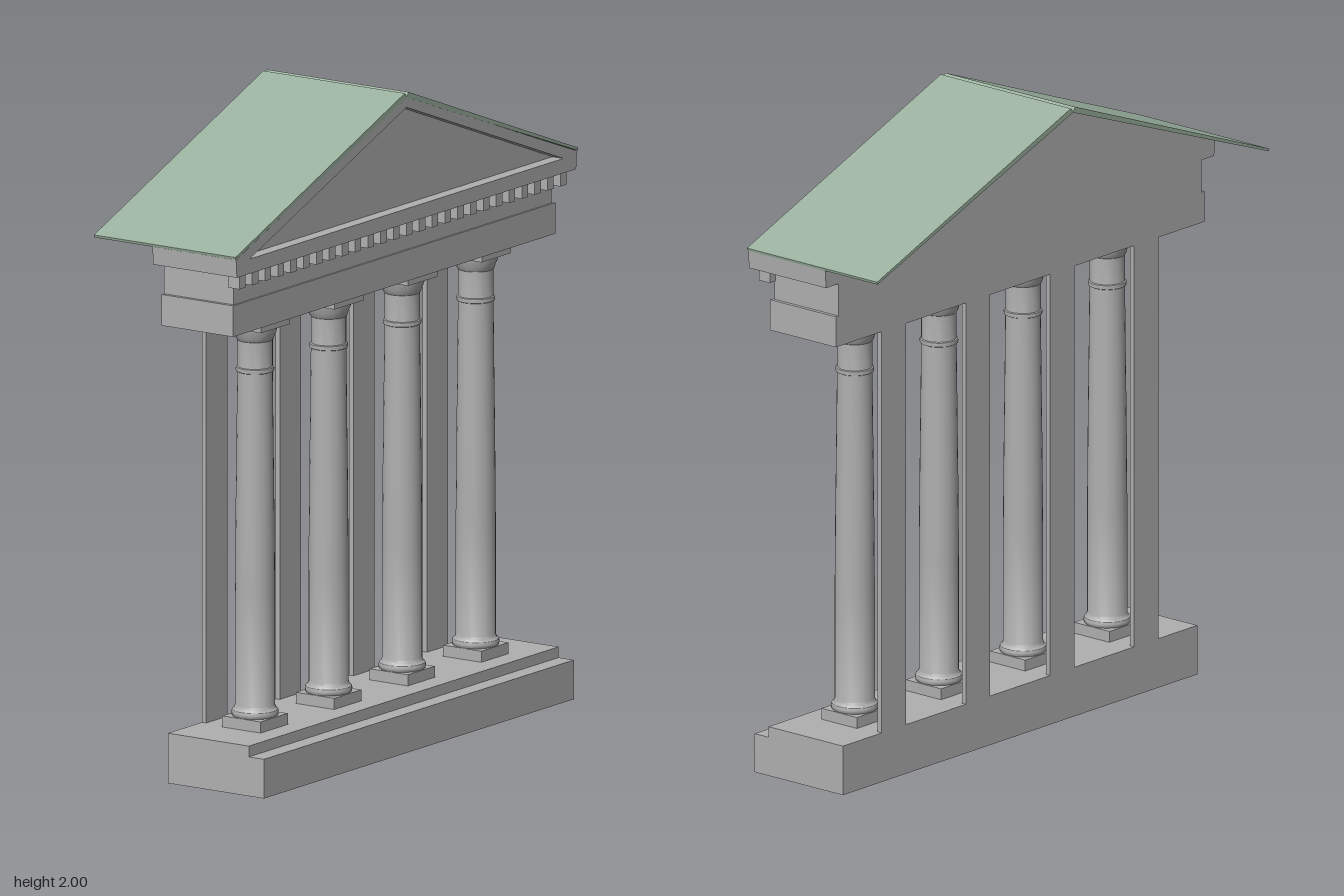
import * as THREE from 'three';
import { toCreasedNormals } from 'three/addons/utils/BufferGeometryUtils.js';

const BACK = -0.07; // plane of the flat rear face
const FRONT = 0.235; // front of the cornice and roof

export function createModel() {
  const stone = new THREE.MeshStandardMaterial({ color: 0xb0b0b0 });
  stone.name = 'grey stone';
  const copper = new THREE.MeshStandardMaterial({ color: 0x9ab09e });
  copper.name = 'green roof';

  const model = new THREE.Group();
  model.name = 'temple portico';

  const add = (name, geometry, material = stone, parent = model) => {
    const mesh = new THREE.Mesh(geometry, material);
    mesh.name = name;
    parent.add(mesh);
    return mesh;
  };
  // Box given by half width, centre x and its y and z limits
  const block = (name, half, y0, y1, z0, z1, x = 0, parent = model) => {
    const g = new THREE.BoxGeometry(2 * half, y1 - y0, z1 - z0);
    g.translate(x, (y0 + y1) / 2, (z0 + z1) / 2);
    return add(name, g, stone, parent);
  };
  const polygon = (C, pts) => new C(pts.map(([x, y]) => new THREE.Vector2(x, y)));
  const extrude = (shape, z0, z1) => {
    const g = new THREE.ExtrudeGeometry(shape, { depth: z1 - z0, bevelEnabled: false });
    return g.translate(0, 0, z0);
  };

  // Stepped base
  block('lowerStep', 0.8, 0, 0.12, BACK, 0.28);
  block('upperStep', 0.8, 0.12, 0.153, BACK, 0.225);

  // Columns: square plinth, turned shaft with gentle taper, square abacus
  const profile = [
    [0.066, 0.185], [0.07, 0.19], [0.071, 0.198], [0.069, 0.206], [0.063, 0.211],
    [0.06, 0.22], [0.06, 0.55], [0.058, 0.8], [0.055, 1.05], [0.053, 1.238],
    [0.057, 1.24], [0.058, 1.246], [0.057, 1.252], [0.053, 1.254],
    [0.053, 1.335], [0.057, 1.34], [0.06, 1.352], [0.066, 1.365], [0.068, 1.378],
  ].map(([r, y]) => new THREE.Vector2(r, y));
  const shaft = toCreasedNormals(new THREE.LatheGeometry(profile, 28), 0.6);
  const columnZ = 0.085;
  for (const x of [-0.57, -0.19, 0.19, 0.57]) {
    const column = new THREE.Group();
    column.name = 'column';
    column.position.set(x, 0, columnZ);
    model.add(column);
    block('plinth', 0.07, 0.153, 0.187, -0.07, 0.07, 0, column);
    add('shaft', shaft, stone, column);
    block('abacus', 0.075, 1.377, 1.405, -0.075, 0.075, 0, column);
    // Thin pilaster behind each column
    block('pilaster', 0.055, 0.153, 1.405, BACK, BACK + 0.016, x);
  }

  // Entablature
  block('architrave', 0.832, 1.405, 1.5, BACK, 0.19);
  block('frieze', 0.82, 1.5, 1.6, BACK, 0.184);
  const dentils = 26;
  for (let i = 0; i < dentils; i++) {
    const x = -0.829 + (1.658 * i) / (dentils - 1);
    block('dentil', 0.016, 1.557, 1.6, 0.18, 0.222, x);
  }

  // Pediment: solid gable with a raised triangular frame in front
  const outline = [[-0.876, 1.6], [0.876, 1.6], [0.88, 1.655], [0, 1.987], [-0.88, 1.655]];
  const tympanumZ = FRONT - 0.04;
  add('gable', extrude(polygon(THREE.Shape, outline), BACK, tympanumZ));
  const frame = polygon(THREE.Shape, outline);
  frame.holes.push(polygon(THREE.Path, [[-0.81, 1.645], [0, 1.955], [0.81, 1.645]]));
  add('pedimentFrame', extrude(frame, tympanumZ, FRONT));

  // Thin roof slopes overhanging the back, with a narrow groove at the ridge
  for (const s of [-1, 1]) {
    const slope = polygon(THREE.Shape, [
      [0, 1.988], [0.01 * s, 2], [0.885 * s, 1.664], [0.883 * s, 1.656], [0, 1.985],
    ]);
    add(s > 0 ? 'leftRoof' : 'rightRoof', extrude(slope, -0.28, FRONT + 0.001), copper);
  }
  return model;
}
